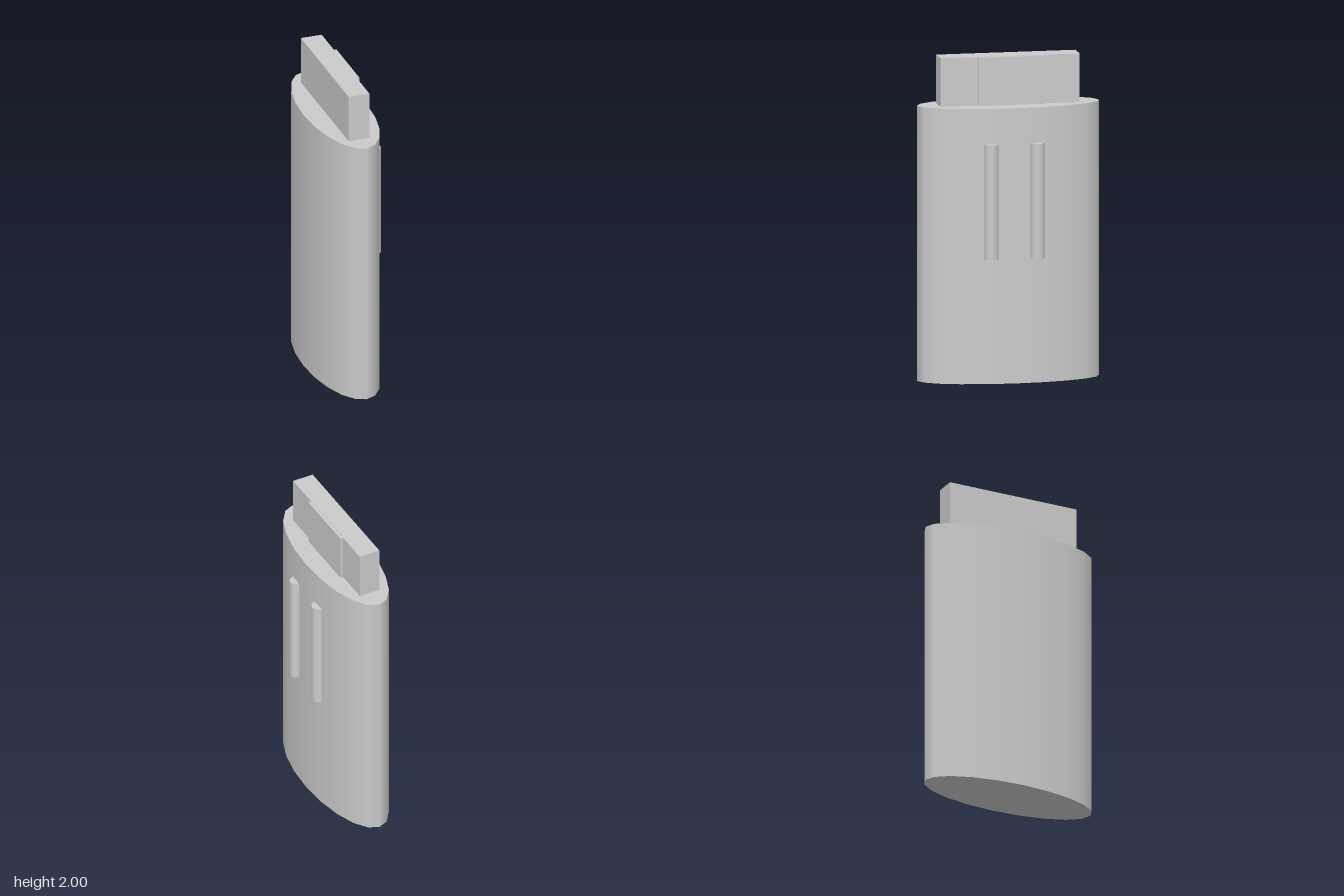
import * as THREE from 'three';

const material = new THREE.MeshStandardMaterial({ color: 0xcccccc });

function add(group, name, geometry, x, y, z) {
  const mesh = new THREE.Mesh(geometry, material);
  mesh.name = name;
  mesh.position.set(x, y, z);
  group.add(mesh);
  return mesh;
}

// Box given by its lower and upper corners
function addBox(group, name, [x0, y0, z0], [x1, y1, z1]) {
  const box = new THREE.BoxGeometry(x1 - x0, y1 - y0, z1 - z0);
  return add(group, name, box, (x0 + x1) / 2, (y0 + y1) / 2, (z0 + z1) / 2);
}

export function createModel() {
  const group = new THREE.Group();
  group.name = 'flatOvalCase';

  // Oval body: a 20-sided cylinder flattened in x
  const body = new THREE.CylinderGeometry(1, 1, 1.7, 20);
  body.scale(0.206, 1, 0.565);
  add(group, 'body', body, -0.018, 0.85, 0);

  // Rectangular plug on top, with a thin raised panel on its left face
  addBox(group, 'plug', [-0.087, 1.7, -0.432], [0.048, 2, 0.432]);
  addBox(group, 'plugPanel', [0.03, 1.7, -0.215], [0.066, 1.998, 0.199]);

  // Two upright grip ribs, half sunk into the body
  for (const side of [1, -1]) {
    const rib = new THREE.CylinderGeometry(0.043, 0.043, 0.71, 20);
    add(group, side > 0 ? 'frontRib' : 'backRib', rib, 0.179, 1.126, side * 0.142);
  }

  return group;
}
